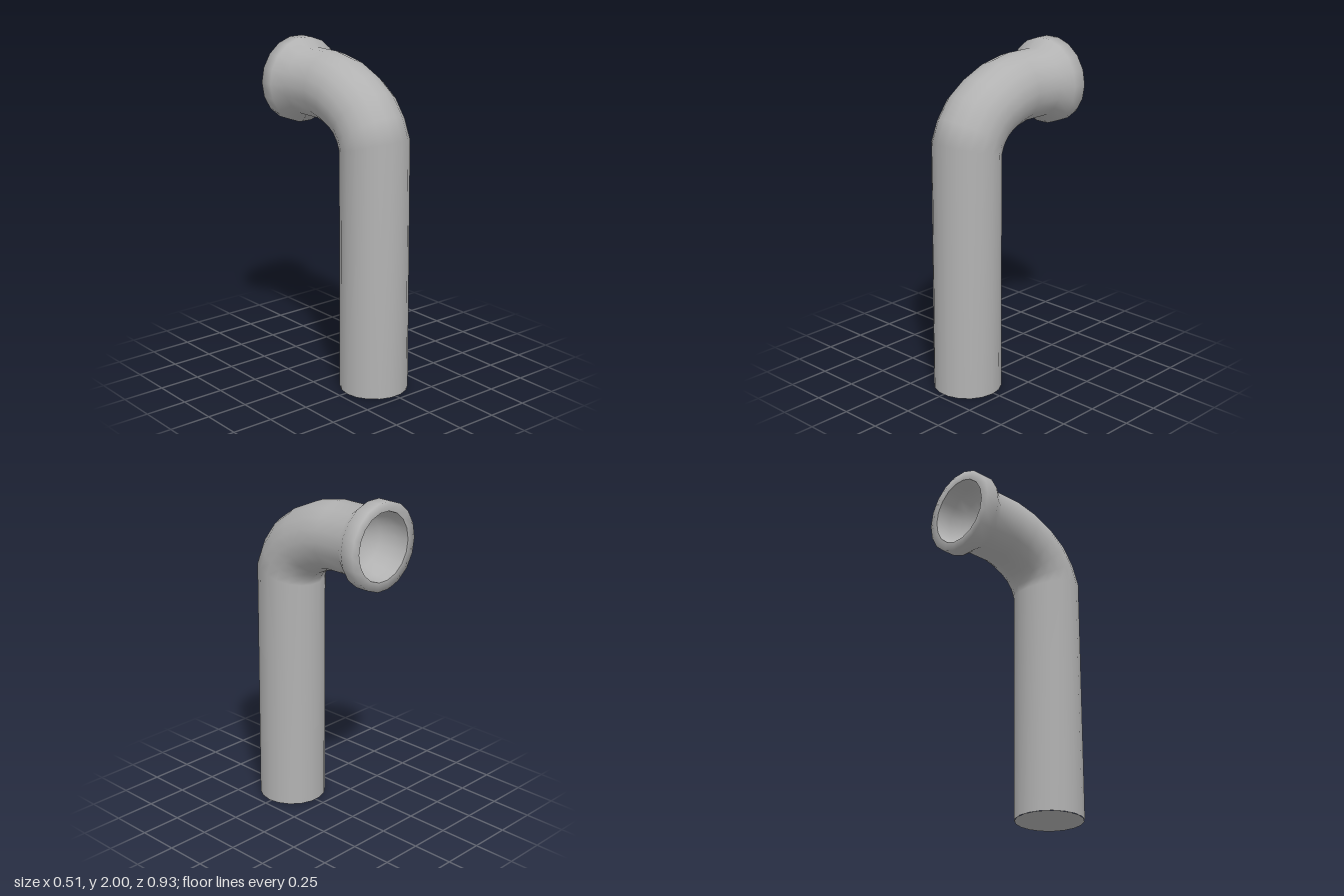
import * as THREE from 'three';

const SIDES = 18;
const HALF = Math.cos(Math.PI / SIDES); // a flat, not a corner, faces the bend plane

// Each section is [outerZ, outerY, innerZ, innerY, halfWidth]: a tilted ring across the bend
function loft(sections) {
  const positions = [], indices = [];
  for (const [oz, oy, iz, iy, w] of sections) {
    const cz = (oz + iz) / 2, cy = (oy + iy) / 2;
    for (let j = 0; j < SIDES; j++) {
      const a = (j + 0.5) * 2 * Math.PI / SIDES;
      const c = Math.cos(a) / HALF;
      positions.push(w * Math.sin(a), cy + (oy - cy) * c, cz + (oz - cz) * c);
    }
  }
  for (let i = 0; i < sections.length - 1; i++) {
    for (let j = 0; j < SIDES; j++) {
      const k = (j + 1) % SIDES;
      const a = i * SIDES + j, b = i * SIDES + k;
      indices.push(a, b, b + SIDES, a, b + SIDES, a + SIDES);
    }
  }
  const geometry = new THREE.BufferGeometry();
  geometry.setAttribute('position', new THREE.Float32BufferAttribute(positions, 3));
  geometry.setIndex(indices);
  geometry.computeVertexNormals();
  return geometry;
}

// Upright ring around the mouth's axis
const mouthRing = (z, r) => [z, 1.75 + r * HALF, z, 1.75 - r * HALF, r];

export function createModel() {
  const group = new THREE.Group();
  const metal = new THREE.MeshStandardMaterial({ color: 0xb2b2b2 });
  metal.name = 'grey metal';

  const add = (name, geometry) => {
    const mesh = new THREE.Mesh(geometry, metal);
    mesh.name = name;
    group.add(mesh);
    return mesh;
  };

  // Straight stem, elbow, flared lip and its rim
  add('pipe', loft([
    [0.463, 0, 0.065, 0, 0.203],
    [0.45, 1.52, 0.065, 1.415, 0.203],
    [0.395, 1.65, 0.052, 1.45, 0.203],
    [0.305, 1.77, 0.03, 1.48, 0.203],
    [0.19, 1.85, 0, 1.502, 0.203],
    [0.03, 1.92, -0.06, 1.53, 0.203],
    [-0.13, 1.95, -0.13, 1.55, 0.203],
    mouthRing(-0.31, 0.203),
    mouthRing(-0.38, 0.255),
    mouthRing(-0.463, 0.255),
    mouthRing(-0.463, 0.2),
  ]));

  // Hollow inside the mouth
  add('mouthHollow', loft([
    mouthRing(-0.463, 0.2),
    mouthRing(-0.37, 0.19),
    mouthRing(-0.3, 0.15),
    mouthRing(-0.26, 0.08),
    mouthRing(-0.25, 0.001),
  ]));

  // Flat closed foot
  const foot = add('footCap', new THREE.CircleGeometry(0.2, SIDES, Math.PI / SIDES));
  foot.rotation.set(Math.PI / 2, 0, 0);
  foot.position.set(0, 0, 0.264);

  return group;
}
